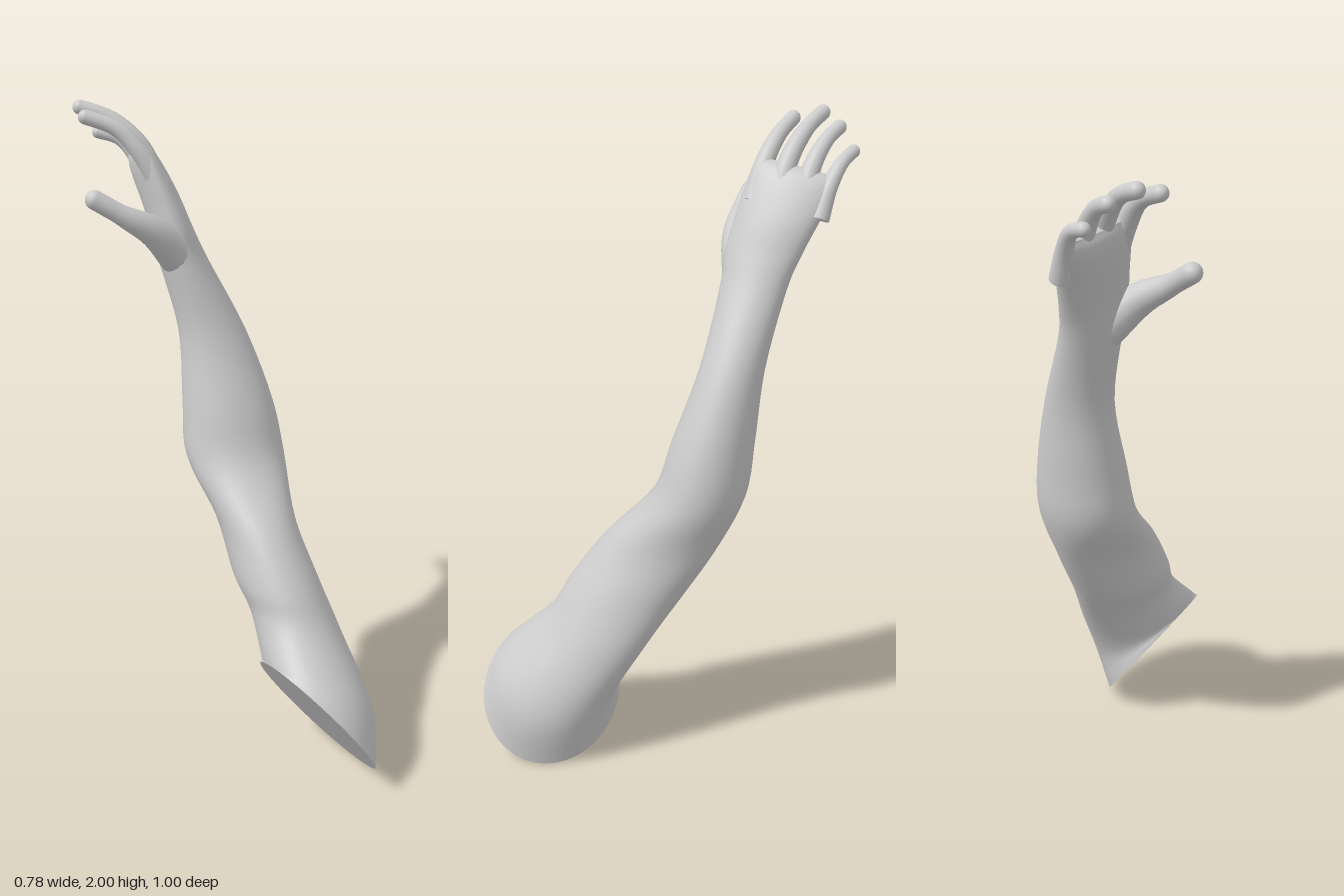
import * as THREE from 'three';

const material = new THREE.MeshStandardMaterial({ color: 0xcccccc });

// Skin a list of elliptical rings { c, u, v } (centre and two half-axes), closing both ends.
function loft(name, rings, sides) {
  const pos = [], index = [];
  const point = ({ c, u, v }, j) => {
    const a = (j % sides) / sides * Math.PI * 2;
    return c.clone().addScaledVector(u, Math.cos(a)).addScaledVector(v, Math.sin(a)).toArray();
  };
  for (const ring of rings) for (let j = 0; j < sides; j++) pos.push(...point(ring, j));
  for (let i = 0; i < rings.length - 1; i++) {
    for (let j = 0; j < sides; j++) {
      const a = i * sides + j, b = i * sides + (j + 1) % sides;
      index.push(a, a + sides, b, a + sides, b + sides, b);
    }
  }
  // end caps with their own vertices keep a sharp rim
  for (const [ring, flip] of [[rings[0], false], [rings[rings.length - 1], true]]) {
    const start = pos.length / 3;
    pos.push(...ring.c.toArray());
    for (let j = 0; j < sides; j++) pos.push(...point(ring, j));
    for (let j = 0; j < sides; j++) {
      const a = start + 1 + j, b = start + 1 + (j + 1) % sides;
      index.push(start, flip ? b : a, flip ? a : b);
    }
  }
  const geometry = new THREE.BufferGeometry();
  geometry.setAttribute('position', new THREE.Float32BufferAttribute(pos, 3));
  geometry.setIndex(index);
  geometry.computeVertexNormals();
  const mesh = new THREE.Mesh(geometry, material);
  mesh.name = name;
  return mesh;
}

const curve = pts => new THREE.CatmullRomCurve3(pts.map(p => new THREE.Vector3(...p)), false, 'catmullrom', 0.5);

// Arm sections: centre xyz, first half-axis xy, second half-axis xyz
const ARM = [
  [0.210, 0.19, 0.290, 0.150, -0.19, 0.05, 0.03, 0.210], // slanted shoulder cut
  [0.218, 0.29, 0.250, 0.165, -0.10, 0.02, 0.04, 0.185],
  [0.180, 0.45, 0.135, 0.140, -0.04, 0.00, 0.03, 0.165],
  [0.133, 0.58, 0.060, 0.128, 0, 0, 0.01, 0.180],
  [0.094, 0.74, -0.040, 0.122, 0, 0, 0, 0.178],
  [0.058, 0.91, -0.152, 0.156, 0, 0, 0, 0.140],          // elbow
  [0.041, 1.08, -0.189, 0.143, 0, 0, 0, 0.121],
  [0.001, 1.30, -0.229, 0.105, 0, 0, 0, 0.094],
  [-0.082, 1.52, -0.260, 0.076, 0, 0, 0, 0.097],         // wrist
  [-0.115, 1.62, -0.277, 0.064, 0, 0, 0, 0.112],
  [-0.145, 1.71, -0.305, 0.055, 0.01, 0, 0, 0.122],      // palm
  [-0.178, 1.79, -0.330, 0.041, 0.02, 0, 0.01, 0.127],
  [-0.196, 1.83, -0.340, 0.028, 0.018, 0, 0.018, 0.122],
  [-0.207, 1.848, -0.340, 0.010, 0.007, 0, 0.018, 0.108], // knuckle web
];

function arm() {
  const c = curve(ARM.map(s => s.slice(0, 3)));
  const u = curve(ARM.map(s => [s[3], s[4], 0]));
  const v = curve(ARM.map(s => s.slice(5)));
  const rings = [], n = (ARM.length - 1) * 5;
  for (let i = 0; i <= n; i++) {
    const t = i / n;
    rings.push({ c: c.getPoint(t), u: u.getPoint(t), v: v.getPoint(t) });
  }
  return loft('armAndPalm', rings, 40);
}

// A tapering digit along a path with a rounded tip
function digit(name, pts, r0, r1) {
  const path = curve(pts), tipStart = 1 - r1 / path.getLength();
  const stations = [];
  for (let i = 0; i < 16; i++) {
    const k = i / 16;
    stations.push([k * tipStart, r0 + (r1 - r0) * Math.min(1, k * 1.3)]);
  }
  for (let i = 0; i <= 7; i++) {
    const a = i / 7 * Math.PI / 2;
    stations.push([tipStart + (1 - tipStart) * Math.sin(a), r1 * Math.max(Math.cos(a), 0.02)]);
  }
  const rings = stations.map(([t, r]) => {
    const dir = path.getTangentAt(t);
    const v = new THREE.Vector3(0, 0, 1).addScaledVector(dir, -dir.z).normalize();
    const u = dir.clone().cross(v);
    return { c: path.getPointAt(t), u: u.multiplyScalar(r), v: v.multiplyScalar(r) };
  });
  return loft(name, rings, 18);
}

export function createModel() {
  const group = new THREE.Group();
  group.name = 'arm';
  group.add(
    arm(),
    digit('thumb', [[-0.10, 1.54, -0.23], [-0.185, 1.622, -0.18], [-0.28, 1.677, -0.157], [-0.388, 1.742, -0.164]], 0.066, 0.029),
    digit('indexFinger', [[-0.155, 1.75, -0.235], [-0.205, 1.84, -0.242], [-0.275, 1.915, -0.263], [-0.386, 1.958, -0.287]], 0.034, 0.022),
    digit('middleFinger', [[-0.155, 1.76, -0.305], [-0.20, 1.86, -0.315], [-0.28, 1.938, -0.343], [-0.39, 1.978, -0.374]], 0.035, 0.022),
    digit('ringFinger', [[-0.155, 1.75, -0.375], [-0.20, 1.845, -0.383], [-0.265, 1.915, -0.407], [-0.35, 1.948, -0.434]], 0.034, 0.021),
    digit('littleFinger', [[-0.15, 1.72, -0.425], [-0.185, 1.80, -0.44], [-0.235, 1.862, -0.462], [-0.318, 1.888, -0.484]], 0.030, 0.019),
  );
  return group;
}
